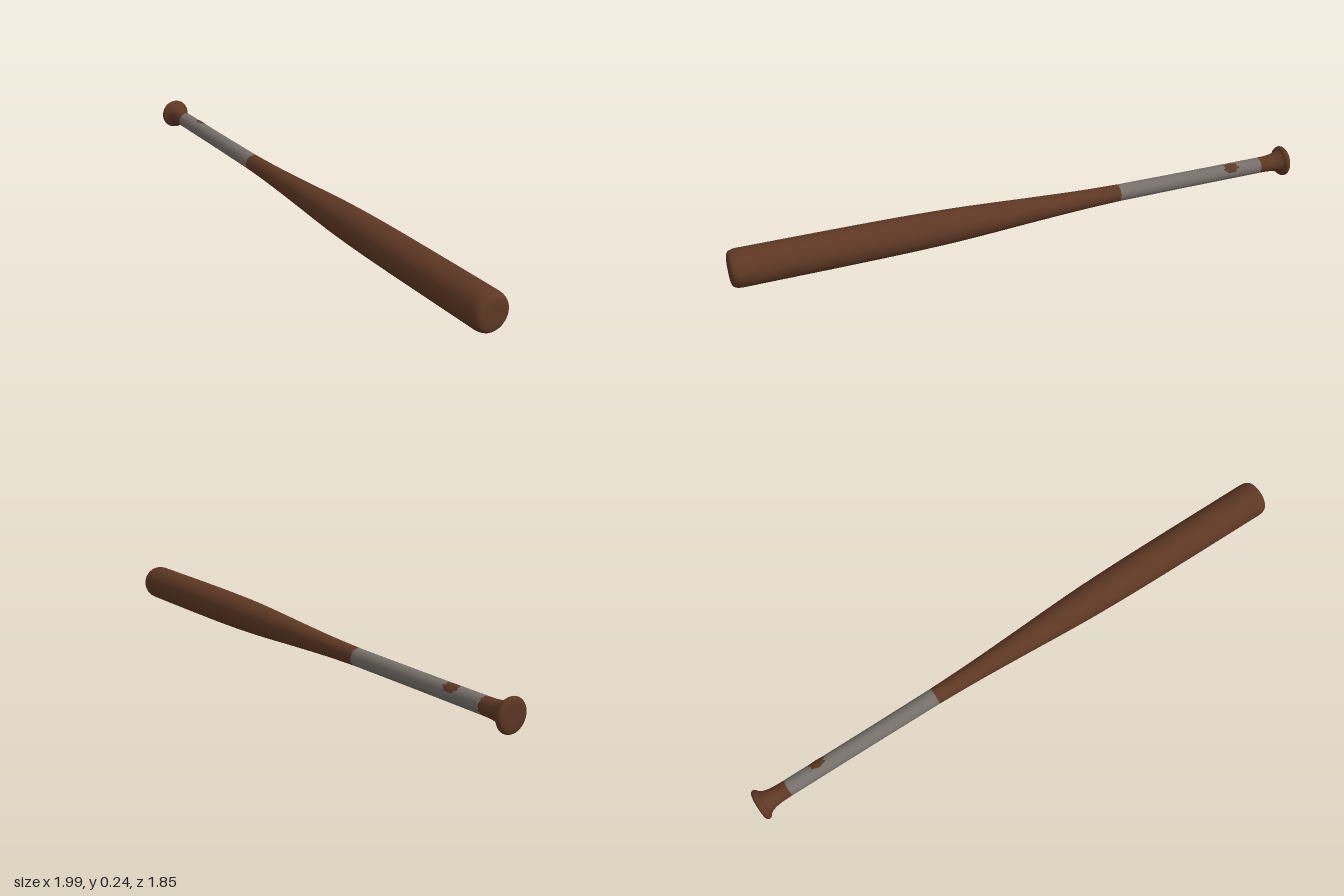
import * as THREE from 'three';

// Axis of the bat, from the knob face to the barrel end
const START = new THREE.Vector3(-0.953, 0.07, -0.88);
const END = new THREE.Vector3(0.953, 0.163, 0.882);
const LENGTH = START.distanceTo(END);

const wood = new THREE.MeshStandardMaterial({ color: 0x5e3824 });
wood.name = 'brown wood';
const wrap = new THREE.MeshStandardMaterial({ color: 0x77706a });
wrap.name = 'grey wrap';

// Turns [radius, distance along axis] pairs into a smooth round part
function turned(name, pairs, material, samples) {
  const curve = new THREE.CatmullRomCurve3(pairs.map(([r, t]) => new THREE.Vector3(r, t, 0)), false, 'centripetal');
  const points = curve.getPoints(samples).map((p) => new THREE.Vector2(Math.max(p.x, 0), p.y));
  const mesh = new THREE.Mesh(new THREE.LatheGeometry(points, 40), material);
  mesh.name = name;
  return mesh;
}

// Small worn spot where the wood shows through, bent around the handle
function wornSpot(radius, along, halfLength, angle, halfAngle) {
  const geometry = new THREE.RingGeometry(0, 1, 7, 4);
  const pos = geometry.attributes.position;
  for (let i = 0; i < pos.count; i++) {
    const a = angle - pos.getX(i) * halfAngle;
    const t = along + pos.getY(i) * halfLength;
    pos.setXYZ(i, radius * Math.sin(a), t, -radius * Math.cos(a));
  }
  geometry.computeVertexNormals();
  const mesh = new THREE.Mesh(geometry, wood);
  mesh.name = 'wornSpot';
  return mesh;
}

export function createModel() {
  const model = new THREE.Group();
  model.name = 'bat';
  const bat = new THREE.Group();
  bat.name = 'batBody';

  // Flared knob at the handle end
  bat.add(turned('knob', [
    [0, 0], [0.054, 0], [0.066, 0.005], [0.07, 0.014], [0.066, 0.024],
    [0.053, 0.035], [0.043, 0.058], [0.038, 0.09], [0.036, 0.143],
  ], wood, 48));

  // Wrapped grip
  bat.add(turned('grip', [[0.0365, 0.143], [0.0365, 0.5], [0.038, 0.872]], wrap, 12));
  bat.add(wornSpot(0.0375, 0.3, 0.042, 0.55, 0.75));

  // Swelling barrel
  bat.add(turned('barrel', [
    [0.038, 0.872], [0.043, 1.05], [0.055, 1.3], [0.065, 1.48], [0.073, 1.65],
    [0.078, 1.86], [0.08, 2.1], [0.081, LENGTH - 0.045],
  ], wood, 48));

  // Rounded barrel end
  bat.add(turned('barrelEnd', [
    [0.081, LENGTH - 0.045], [0.079, LENGTH - 0.026], [0.072, LENGTH - 0.01],
    [0.058, LENGTH - 0.002], [0, LENGTH],
  ], wood, 24));

  // Lay the bat along its axis
  const dir = END.clone().sub(START).normalize();
  const side = new THREE.Vector3(dir.z, 0, -dir.x).normalize();
  const down = side.clone().cross(dir);
  bat.quaternion.setFromRotationMatrix(new THREE.Matrix4().makeBasis(side, dir, down));
  bat.position.copy(START);

  model.add(bat);
  return model;
}
